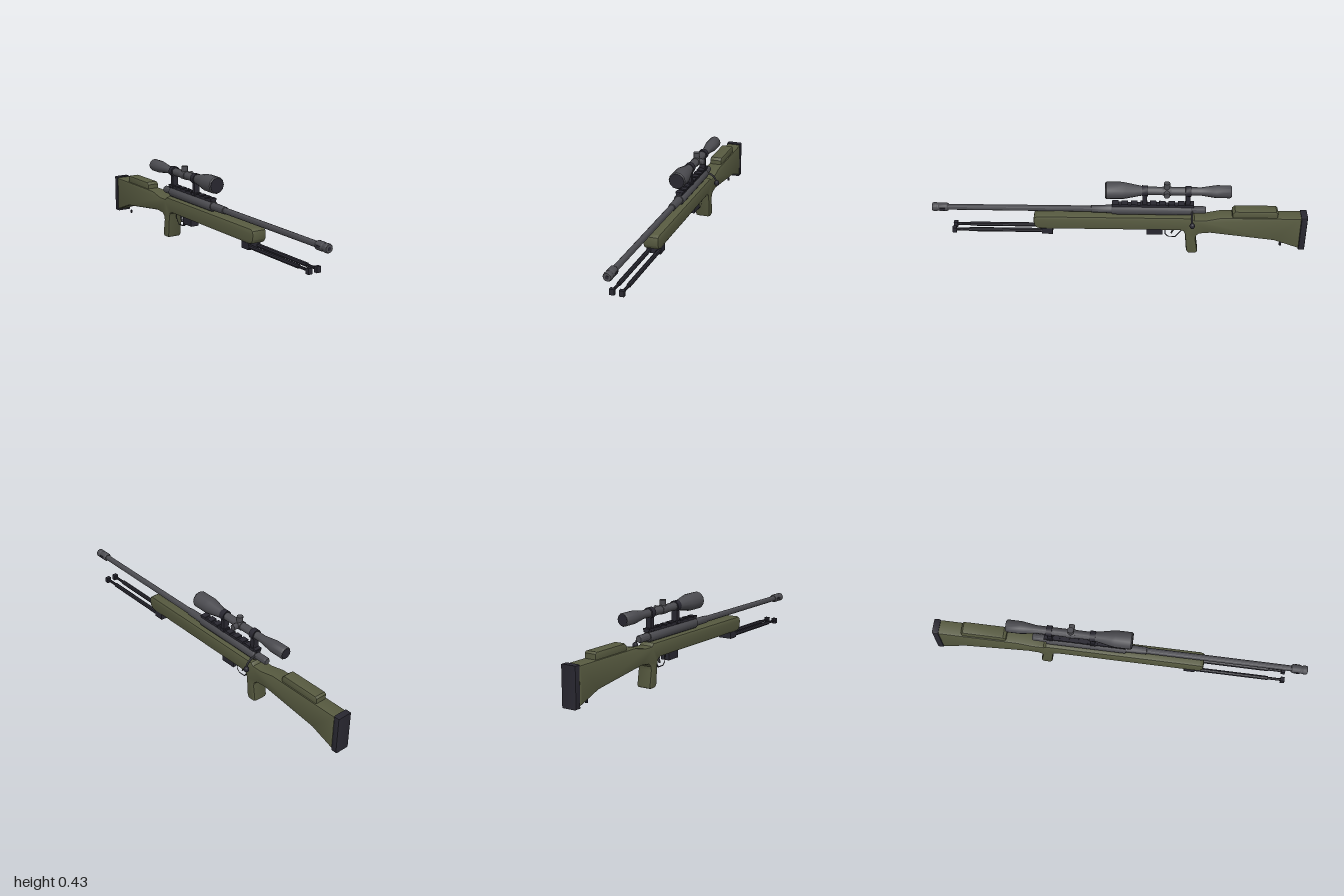
import * as THREE from 'three';
import { toCreasedNormals } from 'three/addons/utils/BufferGeometryUtils.js';

export function createModel() {
  const root = new THREE.Group();
  root.name = 'scopedRifle';
  const body = new THREE.Group();
  body.name = 'rifle';
  body.position.x = -0.022;
  root.add(body);

  const material = (name, color) => {
    const m = new THREE.MeshStandardMaterial({ color });
    m.name = name;
    return m;
  };
  const olive = material('olive', 0x575a40);
  const metal = material('gunmetal', 0x4b4b50);
  const black = material('black', 0x282730);

  const add = (name, geometry, mat, x = 0, y = 0, z = 0) => {
    const mesh = new THREE.Mesh(toCreasedNormals(geometry, 0.6), mat);
    mesh.name = name;
    mesh.position.set(x, y, z);
    body.add(mesh);
    return mesh;
  };
  const box = (name, w, h, d, mat, x, y, z) =>
    add(name, new THREE.BoxGeometry(w, h, d), mat, x, y, z);

  // turned part along z; profile is [radius, z] from back to front
  const turned = (name, profile, mat, x, y, sides = 12) => {
    const pts = profile.map(([r, z]) => new THREE.Vector2(r, z));
    return add(name, new THREE.LatheGeometry(pts, sides).rotateX(Math.PI / 2), mat, x, y, 0);
  };

  // side profile in [z, y], extruded across x and centred, with rounded edges
  const slab = (name, profile, width, bevel, mat, hole) => {
    const toPts = (list) => list.map(([z, y]) => new THREE.Vector2(z, y));
    const shape = new THREE.Shape(toPts(profile));
    if (hole) shape.holes.push(new THREE.Path(toPts(hole)));
    const depth = width - 2 * bevel;
    const geo = new THREE.ExtrudeGeometry(shape, {
      depth, bevelEnabled: bevel > 0, bevelSize: bevel, bevelThickness: bevel,
      bevelOffset: -bevel, bevelSegments: 2,
    });
    geo.translate(0, 0, -depth / 2).rotateY(-Math.PI / 2);
    return add(name, geo, mat);
  };

  // stock with pistol grip, cheek rest and butt pad
  slab('stock', [
    [0.44, 0.236], [0.456, 0.226], [0.46, 0.21], [0.458, 0.18], [0.447, 0.162], [0.425, 0.155],
    [-0.325, 0.155], [-0.343, 0.148], [-0.352, 0.128], [-0.362, 0.02], [-0.37, 0.006], [-0.382, 0.003],
    [-0.408, 0.003], [-0.42, 0.008], [-0.423, 0.02], [-0.41, 0.1], [-0.414, 0.12], [-0.43, 0.134],
    [-0.487, 0.14], [-0.83, 0.096], [-0.968, 0.046], [-0.968, 0.241], [-0.54, 0.241],
    [-0.455, 0.222], [-0.4, 0.222], [-0.385, 0.236],
  ], 0.084, 0.011, olive);
  slab('cheekRest', [
    [-0.6, 0.23], [-0.6, 0.264], [-0.614, 0.277], [-0.832, 0.277], [-0.842, 0.268], [-0.842, 0.23],
  ], 0.068, 0.008, olive);
  slab('buttPad', [[-0.966, 0.037], [-0.966, 0.246], [-1, 0.246], [-1, 0.037]], 0.087, 0.008, black);
  add('slingStud', new THREE.CylinderGeometry(0.007, 0.007, 0.016, 8), black, 0, 0.046, -0.873);

  // barrel, muzzle brake, receiver and bolt
  const axisY = 0.264;
  turned('barrel', [[0, 0], [0.022, 0], [0.022, 0.04], [0.02, 0.15], [0.0165, 0.152], [0.0155, 0.93], [0, 0.93]], metal, 0, axisY);
  turned('muzzleBrake', [
    [0, 0.915], [0.019, 0.915], [0.0235, 0.922], [0.0235, 0.962], [0.021, 0.966],
    [0.021, 0.972], [0.0235, 0.976], [0.0235, 0.995], [0.02, 1], [0, 1],
  ], metal, 0, axisY);
  turned('bore', [[0, 0.99], [0.009, 0.99], [0.009, 1.001], [0, 1.001]], black, 0, axisY);
  for (const side of [-1, 1])
    box('brakePort', 0.004, 0.012, 0.03, black, side * 0.0225, axisY, 0.944);
  turned('receiver', [[0, -0.385], [0.025, -0.385], [0.029, -0.378], [0.029, 0.036], [0.026, 0.042], [0, 0.042]], metal, 0, axisY, 16);
  turned('boltShroud', [[0, -0.46], [0.016, -0.46], [0.02, -0.452], [0.02, -0.38], [0, -0.38]], metal, 0, axisY);
  const handlePath = new THREE.CatmullRomCurve3([
    [0.015, 0.264], [0.036, 0.262], [0.055, 0.252], [0.067, 0.237], [0.074, 0.215],
  ].map(([x, y]) => new THREE.Vector3(x, y, -0.385)));
  add('boltHandle', new THREE.TubeGeometry(handlePath, 12, 0.0055, 8), metal);
  const knob = add('boltKnob', new THREE.SphereGeometry(0.0145, 12, 8), black, 0.0745, 0.212, -0.387);
  knob.scale.y = 1.15;

  // slotted scope rail
  box('railBase', 0.032, 0.012, 0.435, black, 0, 0.294, -0.178);
  for (let i = 0; i < 9; i++)
    box('railTooth', 0.04, 0.009, 0.034, black, 0, 0.302, 0.022 - i * 0.05);

  // telescopic sight
  const scopeY = 0.383;
  turned('scopeTube', [
    [0, -0.588], [0.03, -0.588], [0.034, -0.582], [0.034, -0.51], [0.031, -0.49], [0.022, -0.43],
    [0.022, -0.135], [0.028, -0.105], [0.042, -0.035], [0.046, -0.015], [0.046, 0.068], [0.041, 0.074], [0, 0.074],
  ], metal, 0, scopeY);
  turned('frontLens', [[0, 0.07], [0.041, 0.07], [0.041, 0.0755], [0, 0.0755]], black, 0, scopeY);
  turned('rearLens', [[0, -0.5895], [0.028, -0.5895], [0.028, -0.584], [0, -0.584]], black, 0, scopeY);
  turned('turretCollar', [[0, -0.272], [0.025, -0.272], [0.025, -0.226], [0, -0.226]], metal, 0, scopeY);
  add('elevationTurret', new THREE.CylinderGeometry(0.017, 0.017, 0.05, 12), metal, 0, 0.408, -0.249);
  add('windageTurret', new THREE.CylinderGeometry(0.016, 0.016, 0.048, 12).rotateZ(Math.PI / 2), metal, 0.024, scopeY, -0.249);
  for (const z of [-0.134, -0.362]) {
    turned('scopeRing', [[0, z - 0.015], [0.029, z - 0.015], [0.029, z + 0.015], [0, z + 0.015]], black, 0, scopeY);
    box('ringPost', 0.032, 0.07, 0.024, black, 0, 0.334, z);
    box('ringClamp', 0.042, 0.016, 0.03, black, 0, 0.299, z);
  }

  // magazine, trigger guard and trigger
  box('magazine', 0.048, 0.05, 0.085, black, 0, 0.139, -0.189);
  slab('triggerGuard', [
    [-0.24, 0.158], [-0.244, 0.108], [-0.262, 0.09], [-0.304, 0.09], [-0.334, 0.13], [-0.336, 0.158],
  ], 0.018, 0, black, [
    [-0.246, 0.153], [-0.25, 0.111], [-0.265, 0.096], [-0.301, 0.096], [-0.328, 0.132], [-0.33, 0.153],
  ]);
  slab('trigger', [
    [-0.278, 0.158], [-0.292, 0.158], [-0.294, 0.132], [-0.282, 0.108], [-0.277, 0.111], [-0.286, 0.133],
  ], 0.01, 0, metal);

  // folded bipod
  box('bipodMount', 0.076, 0.036, 0.058, black, 0, 0.139, 0.388);
  for (const side of [-1, 1]) {
    const x = side * 0.025;
    turned('bipodLeg', [[0, 0.38], [0.0115, 0.38], [0.0115, 0.81], [0.0075, 0.812], [0.0075, 0.885], [0, 0.885]], black, x, 0.136, 8);
    box('bipodFoot', 0.025, 0.031, 0.021, black, x, 0.135, 0.889);
  }

  return root;
}
